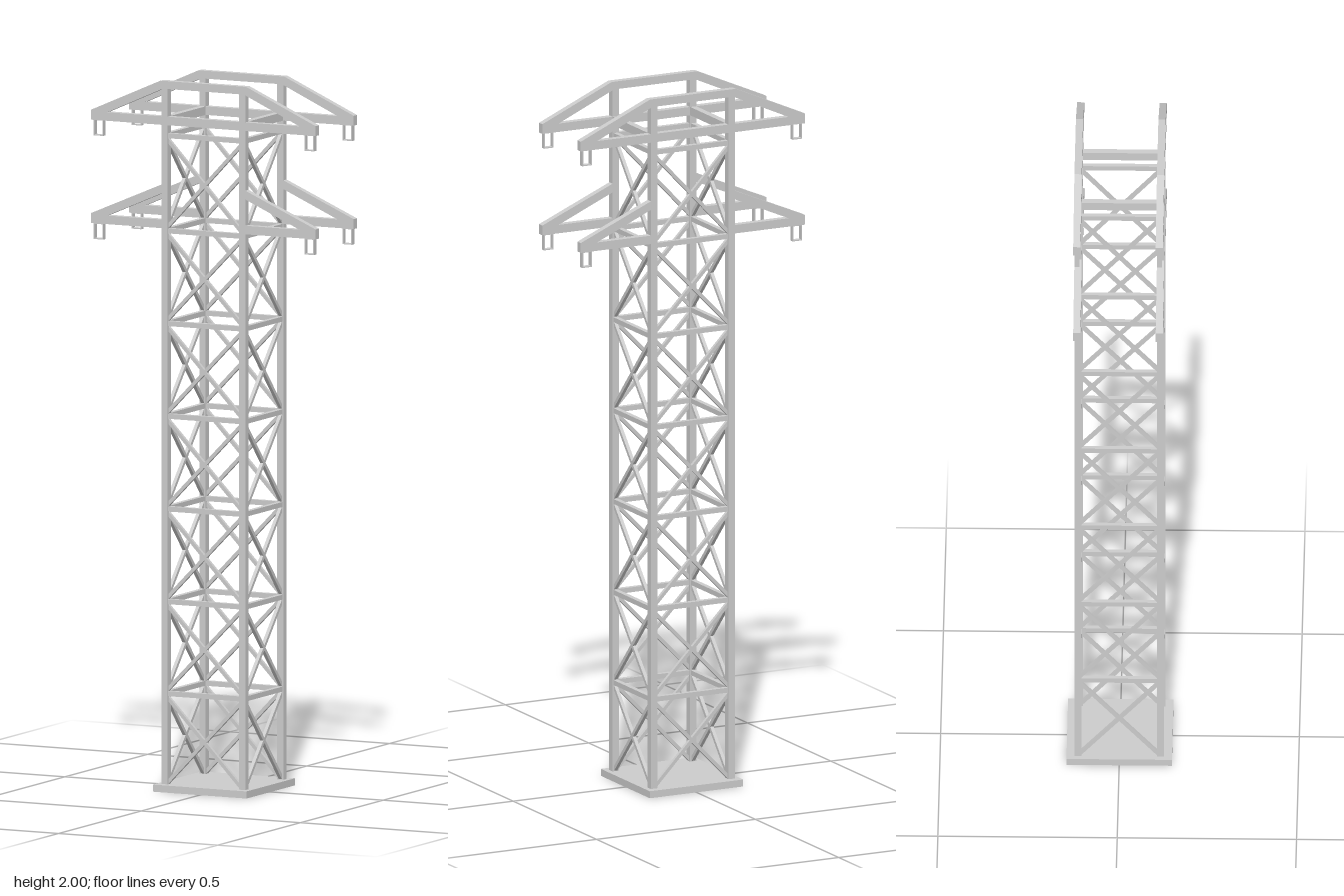
import * as THREE from 'three';

const material = new THREE.MeshStandardMaterial({ color: 0xcccccc, flatShading: true });
const LEG_X = 0.122, LEG_Z = 0.115, LEG_W = 0.02, BASE_H = 0.02;
// Heights of the lattice joints, from the base up
const JOINTS = [0.013, 0.275, 0.534, 0.795, 1.056, 1.317, 1.578, 1.846];

function add(parent, name, geometry) {
  const mesh = new THREE.Mesh(geometry, material);
  mesh.name = name;
  parent.add(mesh);
  return mesh;
}

// Rectangular bar from a to b
function bar(parent, name, a, b, w, h = w) {
  const start = new THREE.Vector3(...a), end = new THREE.Vector3(...b);
  const mesh = add(parent, name, new THREE.BoxGeometry(w, h, start.distanceTo(end)));
  mesh.position.copy(start).add(end).multiplyScalar(0.5);
  mesh.lookAt(end);
}

// Flat plate with holes, centred on its thickness
function plate(parent, name, outline, holes, depth) {
  const points = (list) => list.map(([x, y]) => new THREE.Vector2(x, y));
  const shape = new THREE.Shape(points(outline));
  holes.forEach((hole) => shape.holes.push(new THREE.Path(points(hole))));
  const geometry = new THREE.ExtrudeGeometry(shape, { depth, bevelEnabled: false });
  geometry.translate(0, 0, -depth / 2);
  return add(parent, name, geometry);
}

// One lattice face: horizontal rungs and crossed braces; at(s, y) gives a point with s = -1 or 1
function latticeFace(parent, name, at) {
  const face = new THREE.Group();
  face.name = name;
  for (let i = 1; i < JOINTS.length; i++) {
    const y0 = JOINTS[i - 1], y1 = JOINTS[i];
    bar(face, 'rung', at(-1, y1), at(1, y1), 0.014);
    bar(face, 'brace', at(-1, y0 + 0.005), at(1, y1 - 0.005), 0.01);
    bar(face, 'brace', at(1, y0 + 0.005), at(-1, y1 - 0.005), 0.01);
  }
  parent.add(face);
}

// Rectangular hanger loop under an arm tip
function hanger(parent, x, top, z) {
  const l = x - 0.015, r = x + 0.015, b = top - 0.046, t = 0.003;
  plate(parent, 'hanger',
    [[l, b], [r, b], [r, top], [l, top]],
    [[[l + t, b + t], [l + t, top - t], [r - t, top - t], [r - t, b + t]]], 0.014).position.z = z;
}

export function createModel() {
  const tower = new THREE.Group();
  tower.name = 'latticeTower';

  // Base slab
  add(tower, 'base', new THREE.BoxGeometry(0.294, BASE_H, 0.294)).position.y = BASE_H / 2;

  // Corner legs
  for (const sx of [-1, 1]) for (const sz of [-1, 1]) {
    const leg = add(tower, 'leg', new THREE.BoxGeometry(LEG_W, 1.99 - BASE_H, LEG_W));
    leg.position.set(sx * LEG_X, (1.99 + BASE_H) / 2, sz * LEG_Z);
  }

  // Lattice on the four faces
  for (const s of [-1, 1]) {
    latticeFace(tower, s > 0 ? 'frontLattice' : 'backLattice', (t, y) => [t * LEG_X, y, s * LEG_Z]);
    latticeFace(tower, s > 0 ? 'leftLattice' : 'rightLattice', (t, y) => [s * LEG_X, y, t * LEG_Z]);
    // Tie between the two top trusses
    bar(tower, 'topTie', [s * LEG_X, 1.888, -LEG_Z], [s * LEG_X, 1.888, LEG_Z], 0.019, 0.024);
  }

  for (const sz of [-1, 1]) {
    const z = sz * LEG_Z;
    const mirror = (list) => list.map(([x, y]) => [-x, y]);

    // Top truss: full-width chord, sloped ends and a flat ridge
    const bay = [[0.132, 1.9], [0.132, 1.976], [0.302, 1.9]];
    plate(tower, 'topTruss',
      [[-0.353, 1.876], [0.353, 1.876], [0.353, 1.904], [0.135, 2], [-0.135, 2], [-0.353, 1.904]],
      [bay, mirror(bay), [[-0.112, 1.9], [-0.112, 1.978], [0.112, 1.978], [0.112, 1.9]]],
      LEG_W).position.z = z;

    for (const sx of [-1, 1]) {
      // Lower side arm
      const side = (list) => list.map(([x, y]) => [sx * x, y]);
      plate(tower, 'lowerArm',
        side([[0.122, 1.585], [0.353, 1.585], [0.353, 1.613], [0.122, 1.712]]),
        [side([[0.132, 1.609], [0.132, 1.683], [0.302, 1.609]])], LEG_W).position.z = z;

      // Hangers at the tips
      hanger(tower, sx * 0.331, 1.878, z);
      hanger(tower, sx * 0.331, 1.586, z);
    }
  }
  return tower;
}
